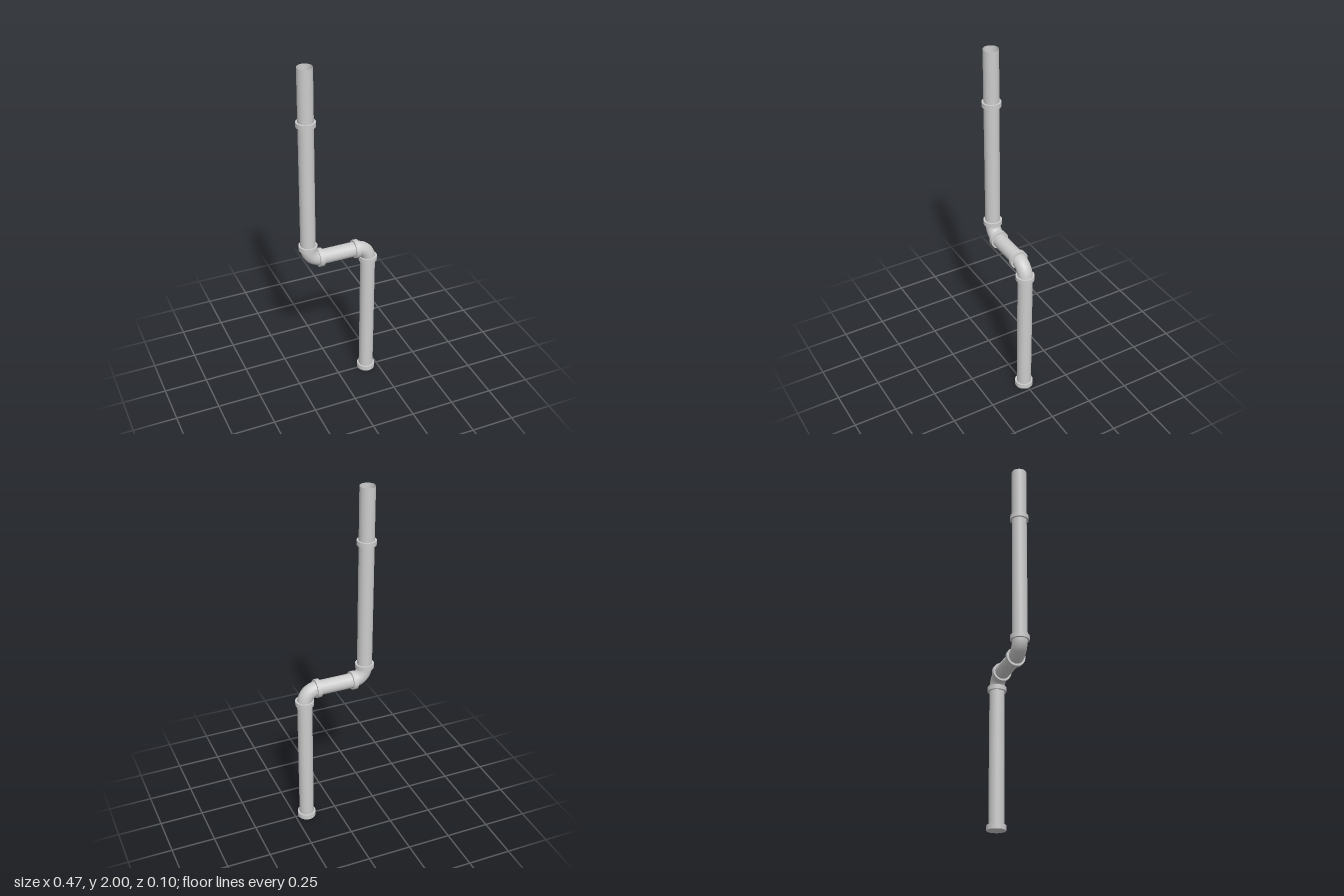
import * as THREE from 'three';

const PIPE_R = 0.042, COLLAR_R = 0.0525, SEGMENTS = 48;
const X = 0.18, MID_Y = 0.866, BEND = 0.074;

export function createModel() {
  const group = new THREE.Group();
  const material = new THREE.MeshStandardMaterial({ color: 0xcccccc, side: THREE.DoubleSide });

  const add = (name, geometry, x = 0, y = 0, horizontal = false) => {
    const mesh = new THREE.Mesh(geometry, material);
    mesh.name = name;
    mesh.position.set(x, y, 0);
    if (horizontal) mesh.rotation.z = Math.PI / 2;
    group.add(mesh);
  };

  // Straight open pipe centred at (x, y)
  const pipe = (name, length, x, y, horizontal) =>
    add(name, new THREE.CylinderGeometry(PIPE_R, PIPE_R, length, SEGMENTS, 1, true), x, y, horizontal);

  // Solid coupling ring around a joint
  const collar = (name, length, x, y, horizontal) =>
    add(name, new THREE.CylinderGeometry(COLLAR_R, COLLAR_R, length, SEGMENTS), x, y, horizontal);

  // Quarter bend swept around a centre, from the given start angle
  const elbow = (name, x, y, start) => {
    const bend = new THREE.TorusGeometry(BEND, PIPE_R, SEGMENTS, 20, Math.PI / 2);
    bend.rotateZ(start);
    add(name, bend, x, y);
  };

  // Vertical runs and the offset between them
  const upperStart = MID_Y + BEND, lowerEnd = MID_Y - BEND;
  pipe('upperPipe', 2 - upperStart, -X, (2 + upperStart) / 2);
  pipe('lowerPipe', lowerEnd, X, lowerEnd / 2);
  pipe('crossPipe', 2 * (X - BEND), 0, MID_Y, true);

  // Bends
  elbow('upperElbow', -X + BEND, upperStart, Math.PI);
  elbow('lowerElbow', X - BEND, lowerEnd, 0);

  // Couplings
  collar('topCollar', 0.026, -X, 1.692);
  collar('upperElbowCollar', 0.026, -X, 0.95);
  collar('lowerElbowCollar', 0.026, X, 0.792);
  collar('baseCollar', 0.028, X, 0.014);
  collar('crossCollarRight', 0.026, -0.111, MID_Y, true);
  collar('crossCollarLeft', 0.026, 0.105, MID_Y, true);

  return group;
}
